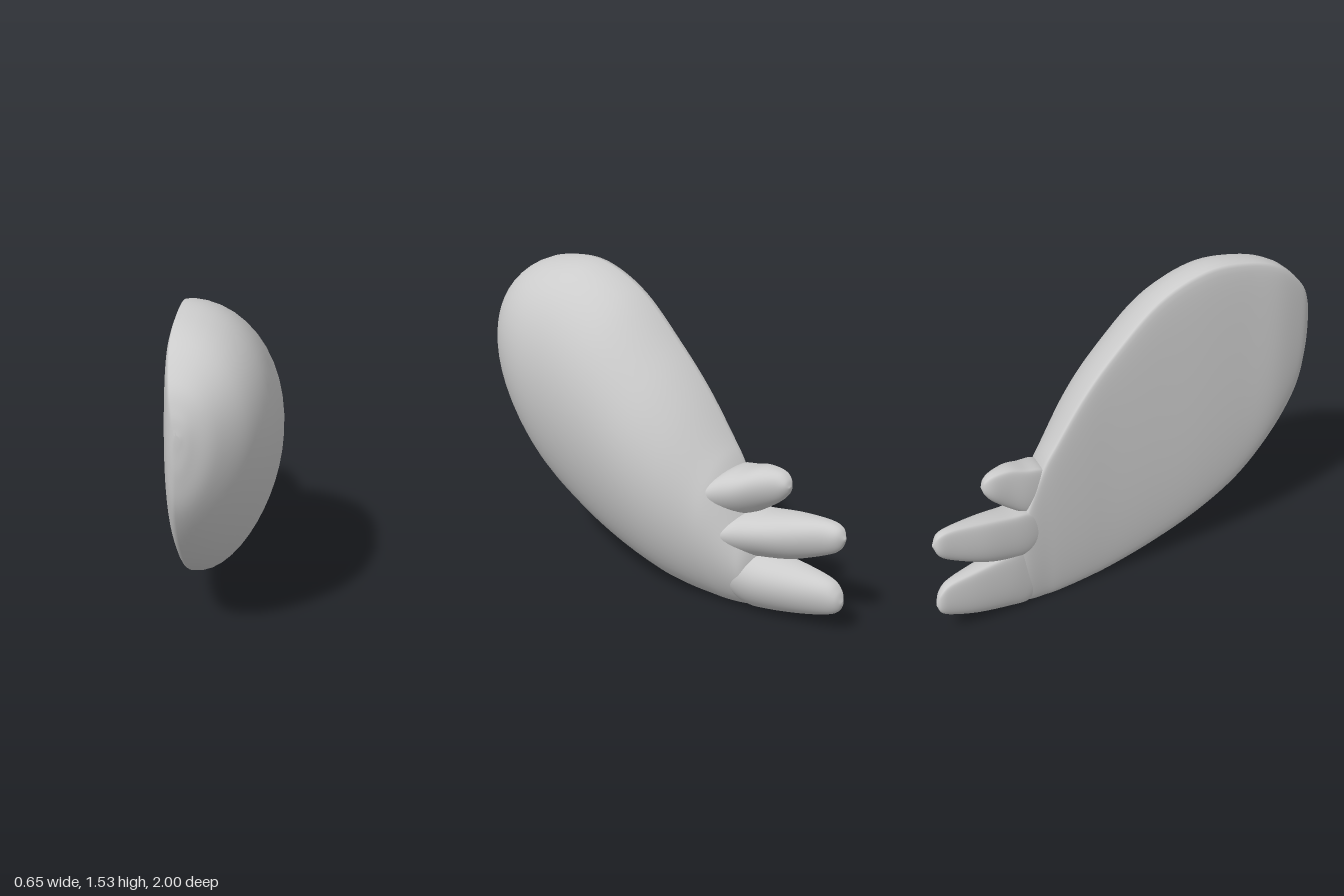
import * as THREE from 'three';

// Lofts a smooth lens-shaped blade through stations running from front to back.
// Station: [z, top y, bottom y, rim x, outer x, inner x]
function blade(name, stations, material, rows = 40, sides = 48) {
  const outline = new THREE.CatmullRomCurve3(
    stations.map(s => new THREE.Vector3(s[0], s[1], s[2])), false, 'catmullrom', 0.5);
  const depth = new THREE.CatmullRomCurve3(
    stations.map(s => new THREE.Vector3(s[3], s[4], s[5])), false, 'catmullrom', 0.5);
  const positions = [], index = [];
  for (let i = 0; i <= rows; i++) {
    const { x: z, y: top, z: bottom } = outline.getPoint(i / rows);
    const { x: rim, y: outer, z: inner } = depth.getPoint(i / rows);
    for (let j = 0; j < sides; j++) {
      // Outer side is a dome fuller towards the top, inner side is flat with a blunt upper edge
      const a = j / sides * Math.PI * 2, s = Math.sin(a), c = Math.cos(a);
      const x = s > 0
        ? rim + (outer - rim) * s * (1 + 0.2 * c)
        : rim - (rim - inner) * Math.pow(-s, 0.6 - 0.25 * c);
      positions.push(x, (top + bottom) / 2 + (top - bottom) / 2 * c, z);
      if (i === rows) continue;
      const p = i * sides + j, q = i * sides + (j + 1) % sides;
      index.push(p, q, p + sides, q, q + sides, p + sides);
    }
  }
  // Close both ends
  const last = rows * sides;
  for (let j = 1; j < sides - 1; j++) {
    index.push(0, j + 1, j, last, last + j, last + j + 1);
  }
  const geometry = new THREE.BufferGeometry();
  geometry.setAttribute('position', new THREE.Float32BufferAttribute(positions, 3));
  geometry.setIndex(index);
  geometry.computeVertexNormals();
  const mesh = new THREE.Mesh(geometry, material);
  mesh.name = name;
  return mesh;
}

export function createModel() {
  const group = new THREE.Group();
  group.name = 'wing';
  const material = new THREE.MeshStandardMaterial({ color: 0xcccccc });

  // Broad domed body, bulging to +x and nearly flat on the inner side
  group.add(blade('wingBody', [
    [1.0, 1.13, 1.09, 0.005, 0.02, -0.005],
    [0.985, 1.22, 0.92, -0.005, 0.07, -0.03],
    [0.935, 1.33, 0.74, -0.02, 0.16, -0.06],
    [0.8, 1.455, 0.53, -0.04, 0.265, -0.1],
    [0.62, 1.515, 0.34, -0.06, 0.315, -0.118],
    [0.4, 1.52, 0.2, -0.08, 0.31, -0.14],
    [0.16, 1.42, 0.1, -0.105, 0.285, -0.16],
    [-0.07, 1.21, 0.035, -0.135, 0.235, -0.183],
    [-0.23, 1.03, 0.01, -0.16, 0.17, -0.205],
    [-0.37, 0.83, 0, -0.185, 0.085, -0.225],
    [-0.44, 0.72, 0, -0.195, 0.04, -0.235],
    [-0.53, 0.52, 0.01, -0.215, -0.03, -0.25],
    [-0.58, 0.4, 0.04, -0.225, -0.08, -0.25],
    [-0.61, 0.3, 0.15, -0.235, -0.18, -0.245],
  ], material, 78));

  // Three feather tips fanning out of the back end
  group.add(blade('upperFeather', [
    [-0.37, 0.66, 0.5, -0.18, 0.035, -0.2],
    [-0.44, 0.715, 0.465, -0.19, 0.01, -0.22],
    [-0.52, 0.735, 0.49, -0.195, -0.035, -0.235],
    [-0.6, 0.755, 0.54, -0.2, -0.085, -0.24],
    [-0.68, 0.75, 0.6, -0.205, -0.145, -0.245],
    [-0.72, 0.725, 0.645, -0.21, -0.175, -0.235],
    [-0.735, 0.69, 0.68, -0.21, -0.2, -0.215],
  ], material));
  group.add(blade('middleFeather', [
    [-0.44, 0.47, 0.32, -0.19, 0.02, -0.225],
    [-0.52, 0.515, 0.28, -0.215, -0.02, -0.255],
    [-0.62, 0.53, 0.29, -0.235, -0.075, -0.28],
    [-0.75, 0.55, 0.32, -0.255, -0.135, -0.305],
    [-0.9, 0.56, 0.385, -0.28, -0.215, -0.318],
    [-0.97, 0.545, 0.43, -0.29, -0.25, -0.32],
    [-1.0, 0.5, 0.49, -0.295, -0.29, -0.3],
  ], material));
  group.add(blade('lowerFeather', [
    [-0.46, 0.26, 0.06, -0.2, -0.05, -0.225],
    [-0.54, 0.33, 0.012, -0.22, -0.055, -0.25],
    [-0.64, 0.315, 0.02, -0.235, -0.085, -0.275],
    [-0.8, 0.295, 0.05, -0.265, -0.155, -0.305],
    [-0.93, 0.27, 0.09, -0.285, -0.22, -0.32],
    [-0.98, 0.23, 0.12, -0.295, -0.255, -0.32],
    [-1.0, 0.18, 0.16, -0.3, -0.29, -0.305],
  ], material));
  return group;
}
